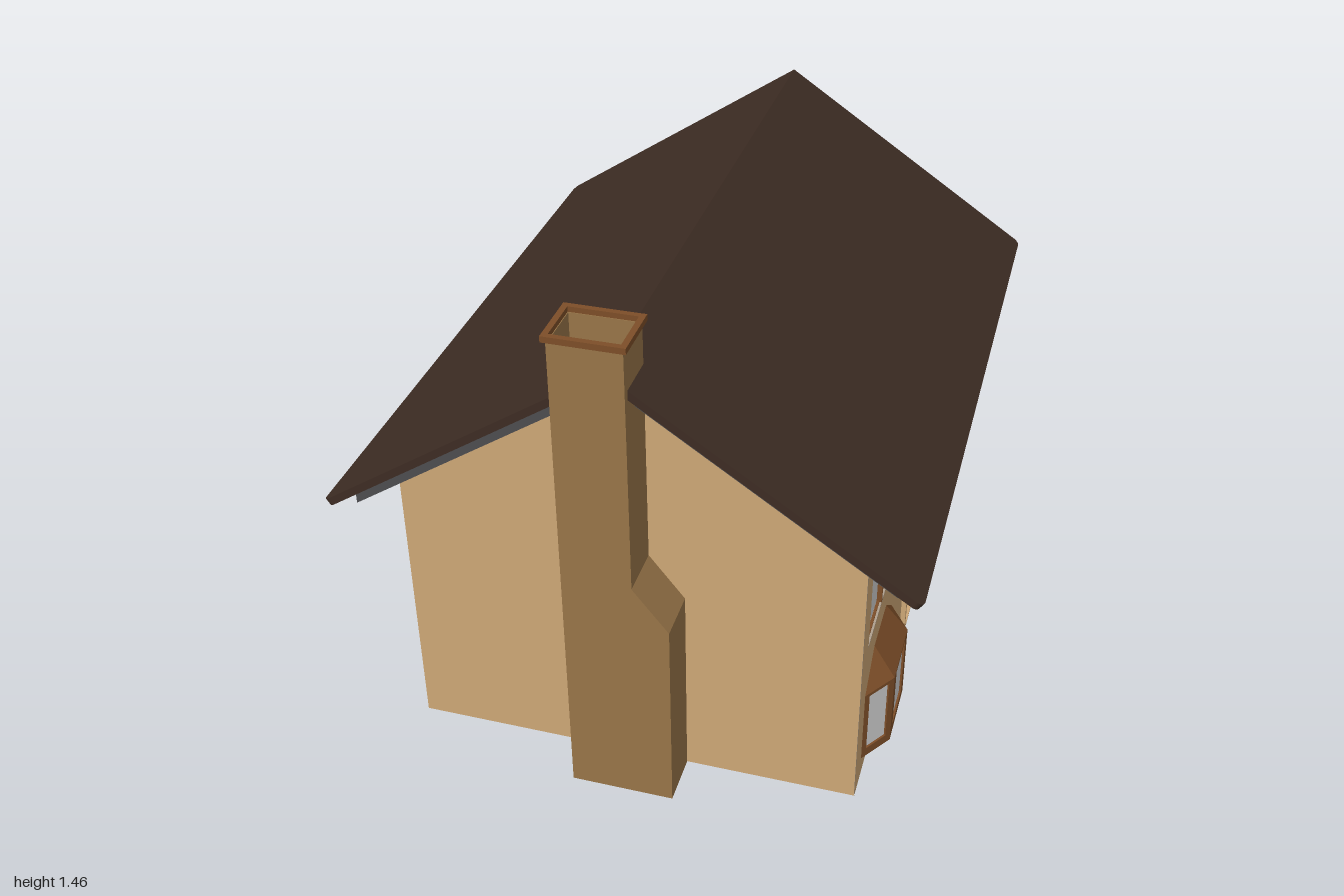
import * as THREE from 'three';

const mat = (name, color, side = THREE.FrontSide) => {
  const m = new THREE.MeshStandardMaterial({ color, side });
  m.name = name;
  return m;
};

export function createModel() {
  const M = {
    wall: mat('sandWall', 0xcda776),
    inner: mat('interiorPlaster', 0xb0a08e, THREE.DoubleSide),
    brick: mat('chimneyBrick', 0x987548),
    roof: mat('darkRoof', 0x3d2c23),
    trim: mat('greyTrim', 0x4d4d4f),
    wood: mat('brownWood', 0x7d4e28, THREE.DoubleSide),
    floor: mat('orangeFloor', 0xc87830),
    glass: mat('paleGlass', 0xd0d0d0, THREE.DoubleSide),
  };
  const house = new THREE.Group();
  house.name = 'house';

  const add = (parent, name, geo, material, x = 0, y = 0, z = 0) => {
    const mesh = new THREE.Mesh(geo, material);
    mesh.name = name;
    mesh.position.set(x, y, z);
    parent.add(mesh);
    return mesh;
  };
  // box given by its limits
  const box = (parent, name, material, x0, x1, y0, y1, z0, z1) =>
    add(parent, name, new THREE.BoxGeometry(x1 - x0, y1 - y0, z1 - z0), material,
      (x0 + x1) / 2, (y0 + y1) / 2, (z0 + z1) / 2);
  const poly = (pts) => new THREE.Shape(pts.map((p) => new THREE.Vector2(p[0], p[1])));
  const rect = (x0, x1, y0, y1) => poly([[x0, y0], [x1, y0], [x1, y1], [x0, y1]]);
  const arch = (c, r, y0, spring) => {
    const s = new THREE.Shape();
    s.moveTo(c - r, y0);
    s.lineTo(c + r, y0);
    s.lineTo(c + r, spring);
    s.absarc(c, spring, r, 0, Math.PI, false);
    s.lineTo(c - r, y0);
    return s;
  };
  const extrude = (shape, depth) =>
    new THREE.ExtrudeGeometry(shape, { depth, bevelEnabled: false, curveSegments: 16 });

  const W = 0.64, zF = 0.84, zB = -0.865, T = 0.035, eave = 0.856, apex = 1.285, slope = 0.67;

  // Wall with openings: plaster core behind a coloured outer skin (local +z is outward)
  const wall = (name, makeOutline, trimEnds, holes, x, z, turn) => {
    const g = new THREE.Group();
    g.name = name;
    g.position.set(x, 0, z);
    g.rotation.y = turn;
    const core = makeOutline(trimEnds), skin = makeOutline(0);
    core.holes.push(...holes);
    skin.holes.push(...holes);
    add(g, 'plasterCore', extrude(core, T), M.inner, 0, 0, -T);
    add(g, 'outerSkin', new THREE.ShapeGeometry(skin, 16), M.wall, 0, 0, 0.001);
    house.add(g);
    return g;
  };
  const gable = () => poly([[-W, 0], [W, 0], [W, eave], [0, apex], [-W, eave]]);

  wall('frontWall', gable, 0, [], 0, zF, 0);
  // Back doorways, in local x = -world x
  const doorway = (x0, y0, h = 0.28) => rect(-x0 - 0.145, -x0, y0, y0 + h);
  wall('backWall', gable, 0,
    [doorway(0.46, 0.012), doorway(0.23, 0.012), doorway(0.23, 0.45), doorway(-0.616, 0.012)],
    0, zB, Math.PI);

  // Left wall (+x), local x = -world z
  const bays = [0.5625, -0.583], half = 0.199, doorZ = -0.005;
  const leftHoles = [arch(-doorZ, 0.115, 0.006, 0.22)];
  for (const c of bays) {
    leftHoles.push(rect(-c - half, -c + half, 0.475, 0.81));
    leftHoles.push(rect(-c - half + 0.03, -c + half - 0.03, 0.09, 0.29));
  }
  const leftWall = wall('leftWall', (e) => rect(-zF + e, -zB - e, 0, eave), T, leftHoles, W, 0, Math.PI / 2);
  for (const c of bays) {
    // upper window pane, thin frame and centre bar
    add(leftWall, 'upperWindowGlass', new THREE.PlaneGeometry(half * 2, 0.335), M.glass, -c, 0.6425, -0.015);
    const frame = rect(-c - half, -c + half, 0.475, 0.81);
    frame.holes.push(rect(-c - half + 0.004, -c + half - 0.004, 0.479, 0.806));
    add(leftWall, 'upperWindowFrame', extrude(frame, 0.008), M.wood, 0, 0, -0.014);
    box(leftWall, 'upperWindowBar', M.wood, -c - 0.005, -c + 0.005, 0.475, 0.81, -0.014, 0);
  }
  // Arched door surround
  const surround = arch(-doorZ, 0.133, 0, 0.22);
  surround.holes.push(arch(-doorZ, 0.115, 0.006, 0.22));
  add(leftWall, 'archSurround', extrude(surround, 0.016), M.wall);

  // Bay windows, in the local frame of the left wall
  const bayBottom = 0.065, bayTop = 0.3, out = 0.065, fr = 0.103, ridge = 0.088;
  const plan = [[-half, 0], [-fr, out], [fr, out], [half, 0]];
  for (const c of bays) {
    const bay = new THREE.Group();
    bay.name = 'bayWindow';
    bay.position.set(-c, 0, 0);
    leftWall.add(bay);
    for (let i = 0; i < 3; i++) {
      const [a, b] = [plan[i], plan[i + 1]];
      const dx = b[0] - a[0], dz = b[1] - a[1], len = Math.hypot(dx, dz);
      const m = i === 1 ? 0.034 : 0.02;
      const panel = new THREE.Group();
      panel.name = 'bayPanel';
      panel.position.set(a[0], 0, a[1]);
      panel.rotation.y = -Math.atan2(dz, dx);
      const frame = rect(0, len, bayBottom, bayTop);
      frame.holes.push(rect(m, len - m, 0.093, 0.29));
      add(panel, 'bayFrame', extrude(frame, 0.012), M.wood, 0, 0, -0.012);
      add(panel, 'bayGlass', new THREE.PlaneGeometry(len - 2 * m, 0.197), M.glass, len / 2, 0.1915, -0.006);
      bay.add(panel);
    }
    // sill and hipped roof
    const sill = add(bay, 'baySill', extrude(poly(plan), 0.012), M.wood, 0, bayBottom + 0.012, 0);
    sill.rotation.x = Math.PI / 2;
    const [A, B, C, D] = plan.map((p) => [p[0], bayTop, p[1]]);
    const P = [-ridge, 0.39, 0], Q = [ridge, 0.39, 0];
    const hip = new THREE.BufferGeometry();
    hip.setAttribute('position', new THREE.Float32BufferAttribute(
      [A, B, P, B, C, Q, B, Q, P, C, D, Q].flat(), 3));
    hip.computeVertexNormals();
    add(bay, 'bayRoof', hip, M.wood);
  }

  // Right wall (-x), local x = world z
  const windows = [[-0.565, 0.14], [0.015, 0.14], [0.57, 0.14], [-0.25, 0.565], [0.215, 0.565], [0.64, 0.565]];
  const rightWall = wall('rightWall', (e) => rect(zB + e, zF - e, 0, eave), T,
    windows.map(([c, y]) => rect(c - 0.132, c + 0.132, y, y + 0.235)), -W, 0, -Math.PI / 2);
  for (const [c, y] of windows)
    add(rightWall, 'sideWindowGlass', new THREE.PlaneGeometry(0.264, 0.235), M.glass, c, y + 0.1175, -0.012);

  // Floors and ceilings
  const inX = W - T, z0 = zB + T, z1 = zF - T;
  box(house, 'groundFloor', M.floor, -inX, inX, 0.003, 0.012, z0, z1);
  box(house, 'floorSlot', M.trim, 0.03, 0.065, 0, 0.006, -0.83, -0.67);
  box(house, 'upperFloor', M.floor, -inX, inX, 0.44, 0.45, z0, z1);
  box(house, 'lowerCeiling', M.inner, -inX, inX, 0.425, 0.439, z0, z1);
  box(house, 'upperCeiling', M.inner, -inX, inX, 0.825, 0.835, z0, z1);

  // Grey roof structure under the covering
  const tx = 0.73, drop = tx * slope;
  add(house, 'roofTrim', extrude(poly([[-tx, apex - drop], [0, apex], [tx, apex - drop],
    [tx, 1.338 - drop], [0, 1.338], [-tx, 1.338 - drop]]), 1.865), M.trim, 0, 0, -0.945);

  // Two roof slabs with rounded eave corners
  const len = 0.8 * Math.hypot(1, slope), hz = 0.985, r = 0.022, ang = Math.atan(slope);
  const slab = new THREE.Shape();
  slab.moveTo(0, -hz);
  slab.lineTo(len - r, -hz);
  slab.absarc(len - r, -hz + r, r, -Math.PI / 2, 0, false);
  slab.absarc(len - r, hz - r, r, 0, Math.PI / 2, false);
  slab.lineTo(0, hz);
  const slabGeo = extrude(slab, 0.022);
  slabGeo.translate(0, 0, -0.022);
  slabGeo.rotateX(-Math.PI / 2);
  slabGeo.rotateZ(-ang);
  for (const turn of [0, Math.PI])
    add(house, 'roofSlab', slabGeo, M.roof, 0, 1.36, -0.015).rotation.y = turn;

  // Chimney: stepped stack, hollow top and rim
  const chimney = new THREE.Group();
  chimney.name = 'chimney';
  house.add(chimney);
  const cx0 = -0.132, cx1 = 0.06, cz0 = 0.845, cz1 = 0.99;
  add(chimney, 'chimneyStack', extrude(poly([[cx0, 0.003], [0.158, 0.003], [0.158, 0.605],
    [cx1, 0.73], [cx1, 1.25], [cx0, 1.25]]), cz1 - cz0), M.brick, 0, 0, cz0);
  const ring = (name, material, grow, t, y0, y1) => {
    const s = rect(cx0 - grow, cx1 + grow, -cz1 - grow, -cz0 + grow);
    s.holes.push(rect(cx0 + t, cx1 - t, -cz1 + t, -cz0 - t));
    add(chimney, name, extrude(s, y1 - y0), material, 0, y0, 0).rotation.x = -Math.PI / 2;
  };
  ring('chimneyTop', M.brick, 0, 0.008, 1.25, 1.44);
  ring('chimneyRim', M.wood, 0.01, 0.006, 1.438, 1.455);

  return house;
}
